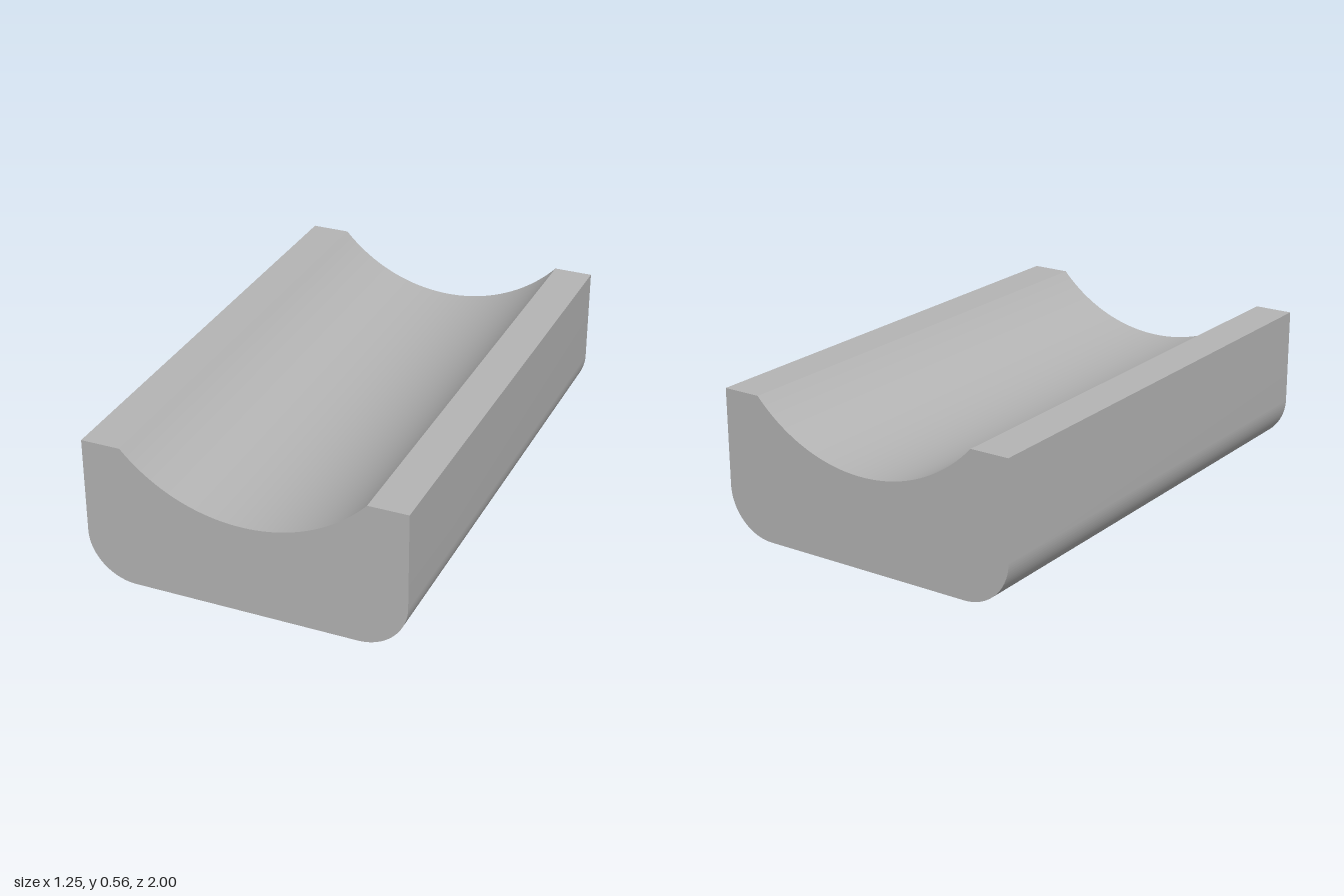
import * as THREE from 'three';
import { toCreasedNormals } from 'three/addons/utils/BufferGeometryUtils.js';

export function createModel() {
  const model = new THREE.Group();
  model.name = 'groovedBlock';

  const grey = new THREE.MeshStandardMaterial({ color: 0xb4b4b4 });
  grey.name = 'grey';

  const halfWidth = 0.623, height = 0.562, length = 2;
  const corner = 0.187; // rounding of the lower edges
  const grooveHalf = 0.47, grooveFloor = 0.355;

  // Circle through the groove's two lips and its lowest point
  const depth = height - grooveFloor;
  const radius = (grooveHalf ** 2 + depth ** 2) / (2 * depth);
  const sweep = Math.asin(grooveHalf / radius);

  // Cross-section, counter-clockwise from the lower left
  const section = new THREE.Shape();
  section.moveTo(-halfWidth + corner, 0);
  section.lineTo(halfWidth - corner, 0);
  section.absarc(halfWidth - corner, corner, corner, -Math.PI / 2, 0, false);
  section.lineTo(halfWidth, height);
  section.lineTo(grooveHalf, height);
  section.absarc(0, grooveFloor + radius, radius, -Math.PI / 2 + sweep, -Math.PI / 2 - sweep, true);
  section.lineTo(-halfWidth, height);
  section.lineTo(-halfWidth, corner);
  section.absarc(-halfWidth + corner, corner, corner, Math.PI, Math.PI * 1.5, false);

  const geometry = new THREE.ExtrudeGeometry(section, { depth: length, bevelEnabled: false, curveSegments: 32 });
  geometry.translate(0, 0, -length / 2);

  const block = new THREE.Mesh(toCreasedNormals(geometry, 0.5), grey);
  block.name = 'block';
  model.add(block);
  return model;
}
